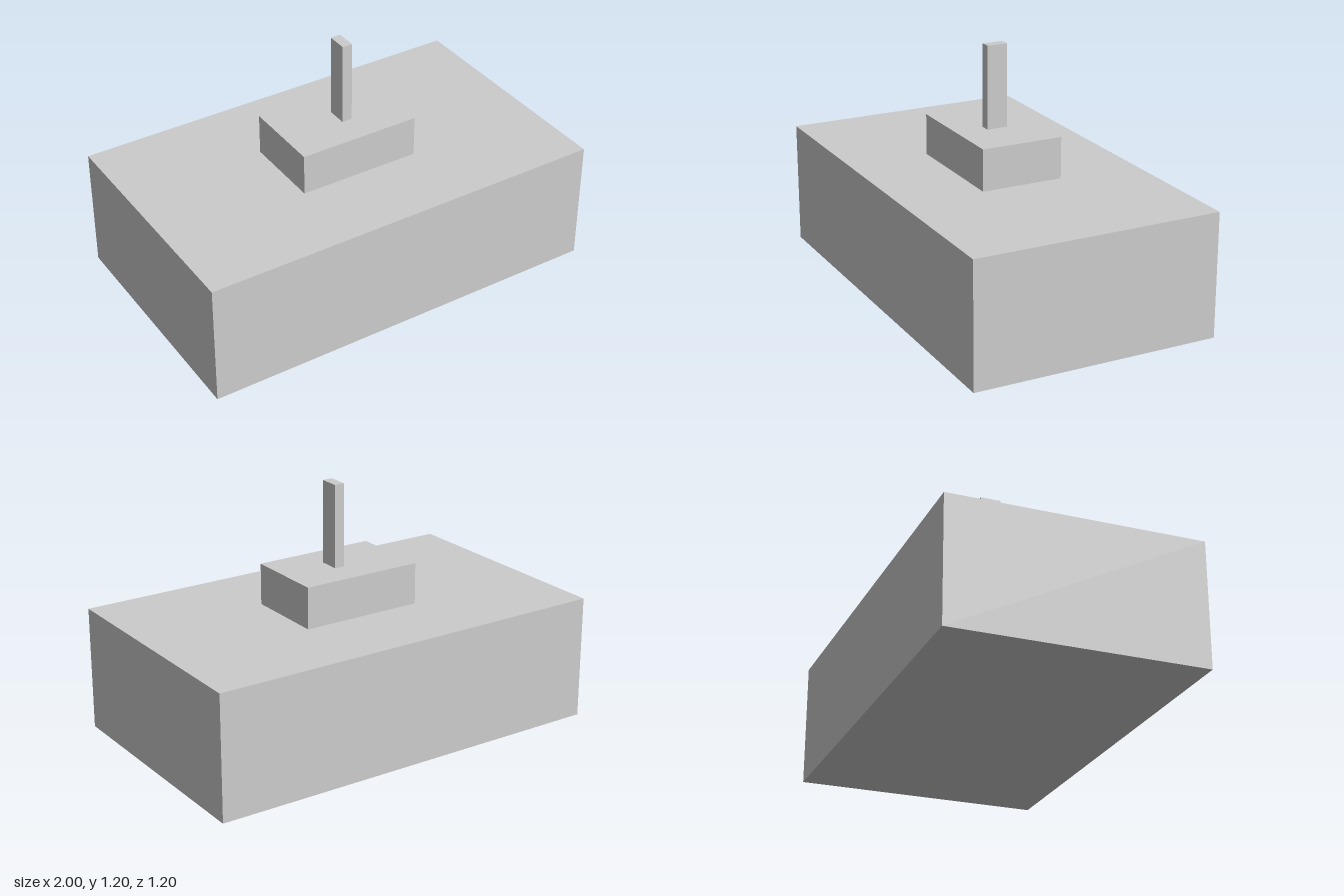
import * as THREE from 'three';

export function createModel() {
  const model = new THREE.Group();
  const material = new THREE.MeshStandardMaterial({ color: 0xcccccc });

  // Adds a box standing at height y, shifted sideways by x
  function addBlock(name, width, height, depth, y, x = 0) {
    const mesh = new THREE.Mesh(new THREE.BoxGeometry(width, height, depth), material);
    mesh.name = name;
    mesh.position.set(x, y + height / 2, 0);
    model.add(mesh);
  }

  addBlock('base', 2, 0.6, 1.2, 0);
  addBlock('pedestal', 0.6, 0.2, 0.4, 0.6);
  // The post has one side on the centre plane
  addBlock('post', 0.05, 0.4, 0.1, 0.8, 0.025);

  return model;
}
